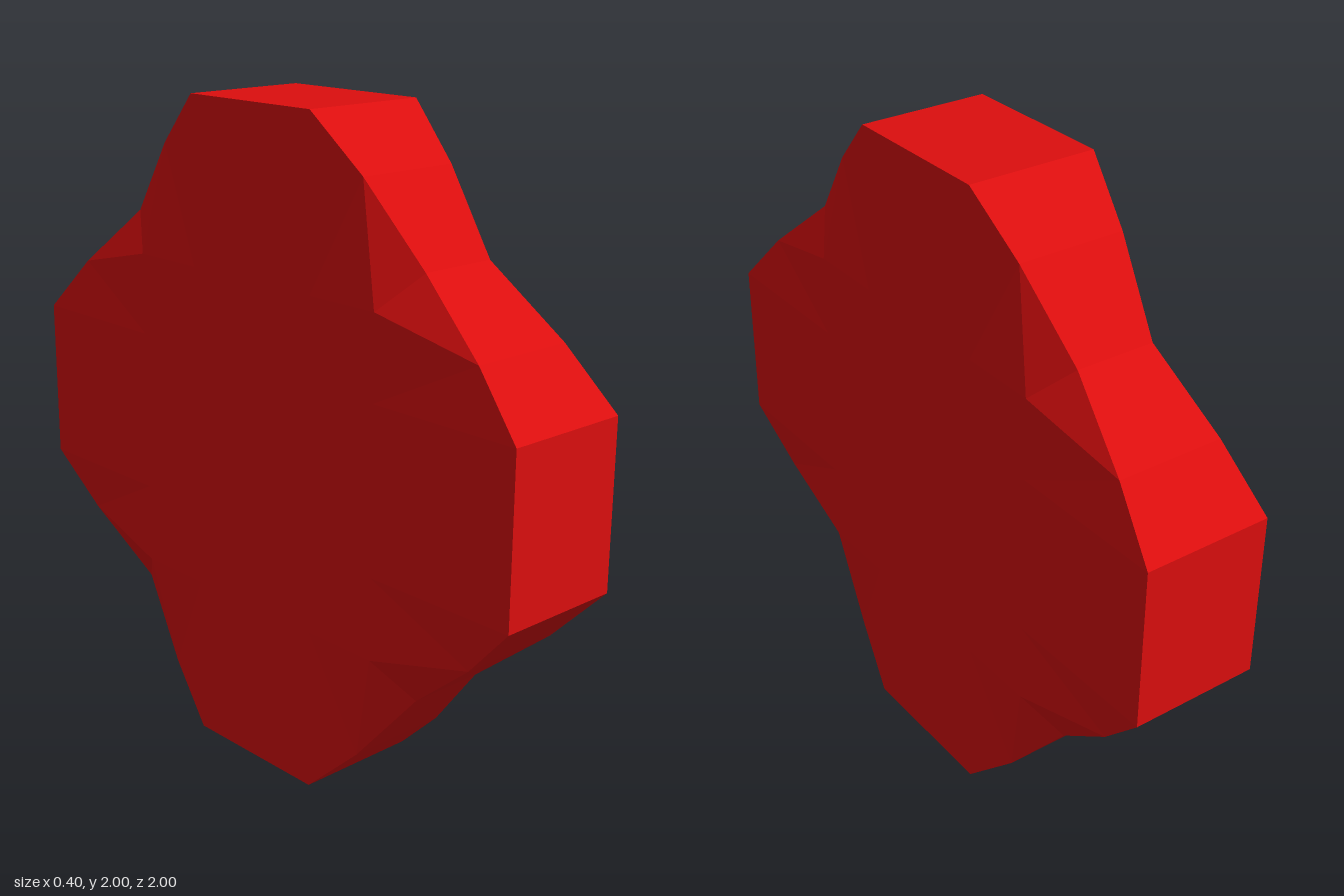
import * as THREE from 'three';

// One eighth of the slab: [y, z, x] points measured from the centre
const POINTS = [
  [0, 0, 0.2],
  // outline, from the top round to the front, pinched at the diagonal
  [1, 0, 0.2], [1, 0.25, 0.2], [0.84, 0.42, 0.167], [0.61, 0.61, 0.123],
  [0.42, 0.84, 0.167], [0.25, 1, 0.2], [0, 1, 0.2],
  // inner corners of the flat cross
  [0.5, 0.25, 0.2], [0.5, 0.5, 0.2], [0.25, 0.5, 0.2],
];
const FACES = [
  [0, 1, 8], [1, 2, 8], [0, 8, 9], [0, 9, 10], [0, 10, 7], [10, 6, 7], // flat cross
  [2, 3, 8], [8, 3, 9], [9, 3, 4], [9, 4, 5], [9, 5, 10], [10, 5, 6],  // sloped corner
];

// Mirrors triangles into all eight octants, keeping them facing outward
function mirroredGeometry(triangles) {
  const out = [];
  for (const sx of [1, -1]) for (const sy of [1, -1]) for (const sz of [1, -1]) {
    for (const tri of triangles) {
      const order = sx * sy * sz > 0 ? tri : [tri[0], tri[2], tri[1]];
      for (const [x, y, z] of order) out.push(x * sx, y * sy, z * sz);
    }
  }
  const geometry = new THREE.BufferGeometry();
  geometry.setAttribute('position', new THREE.Float32BufferAttribute(out, 3));
  geometry.computeVertexNormals();
  return geometry;
}

export function createModel() {
  const group = new THREE.Group();
  group.name = 'pinchedSlab';
  const red = new THREE.MeshStandardMaterial({ color: 0xdc0e0e });
  red.name = 'red';

  const side = (i) => [POINTS[i][2], POINTS[i][0], POINTS[i][1]];
  const middle = (i) => [0, POINTS[i][0], POINTS[i][1]];

  // Broad side faces
  const sides = new THREE.Mesh(mirroredGeometry(FACES.map((f) => f.map(side))), red);
  sides.name = 'sideFaces';

  // Rim joining the two sides
  const rimTriangles = [];
  for (let i = 1; i < 7; i++) {
    rimTriangles.push([side(i), middle(i), middle(i + 1)], [side(i), middle(i + 1), side(i + 1)]);
  }
  const rim = new THREE.Mesh(mirroredGeometry(rimTriangles), red);
  rim.name = 'rim';

  group.add(sides, rim);
  for (const mesh of group.children) mesh.position.y = 1;
  return group;
}
